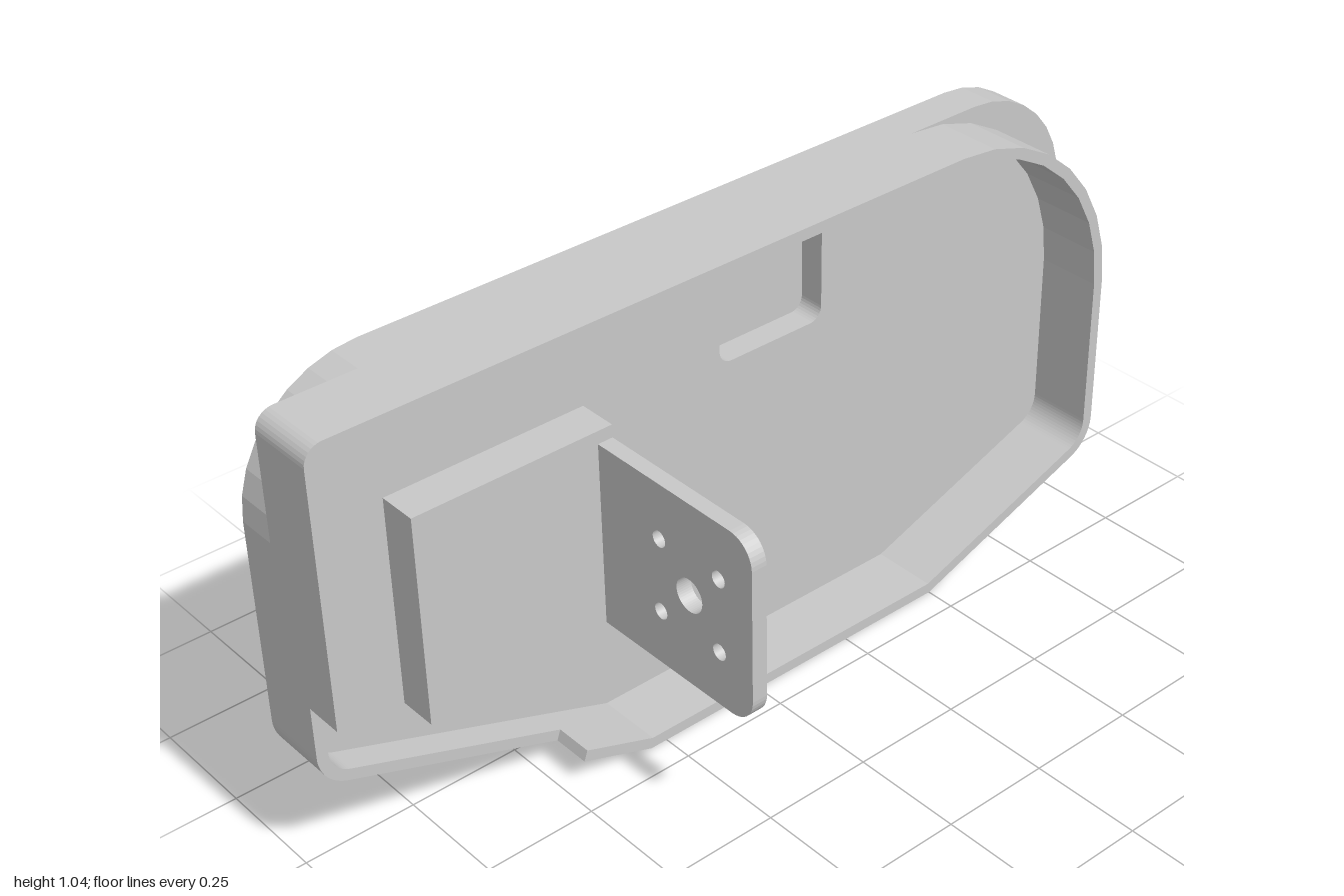
import * as THREE from 'three';

const V = (x, y) => new THREE.Vector2(x, y);

// Fillets each corner [x, y, radius, segments]; one point list per corner.
function fillet(corners) {
  const n = corners.length;
  return corners.map(([x, y, r, seg], i) => {
    const p = V(x, y);
    if (!r) return [p];
    const a = corners[(i + n - 1) % n], b = corners[(i + 1) % n];
    const u = V(a[0], a[1]).sub(p).normalize();
    const v = V(b[0], b[1]).sub(p).normalize();
    const half = Math.acos(u.dot(v)) / 2;
    const c = u.clone().add(v).normalize().multiplyScalar(r / Math.sin(half)).add(p);
    const s = u.clone().multiplyScalar(r / Math.tan(half)).add(p).sub(c);
    const sweep = (2 * half - Math.PI) * Math.sign(u.cross(v));
    return Array.from({ length: seg + 1 }, (_, k) =>
      s.clone().rotateAround(V(0, 0), sweep * k / seg).add(c));
  });
}

// Moves the edges of a clockwise polygon inward by d.
function inset(corners, d) {
  const n = corners.length;
  return corners.map(([x, y, r, seg], i) => {
    const a = corners[(i + n - 1) % n], b = corners[(i + 1) % n];
    const e = V(x - a[0], y - a[1]).normalize(), f = V(b[0] - x, b[1] - y).normalize();
    const n1 = V(e.y, -e.x), n2 = V(f.y, -f.x);
    const m = n1.clone().add(n2).multiplyScalar(d / (1 + n1.dot(n2)));
    return [x + m.x, y + m.y, r ? Math.max(r - d, 0.01) : 0, seg];
  });
}

// Outlines run clockwise and holes counterclockwise, so that all walls face outward.
function extrude(shape, z0, z1) {
  const g = new THREE.ExtrudeGeometry(shape, { depth: z1 - z0, bevelEnabled: false, curveSegments: 24 });
  return g.translate(0, 0, z0);
}

export function createModel() {
  const group = new THREE.Group();
  const grey = new THREE.MeshStandardMaterial({ color: 0xc8c8c8 });
  grey.name = 'plain grey';
  const add = (name, geometry) => {
    const mesh = new THREE.Mesh(geometry, grey);
    mesh.name = name;
    group.add(mesh);
  };

  const TOP = 1.045, BACK = -0.305, POCKET = -0.275, FLOOR = -0.217, STEP = -0.155, FRONT = -0.068;
  const lower = [[1, 0.182, 0.09, 12], [0.5, 0, 0, 0], [-0.29, 0, 0, 0]];
  const lowerLeft = [-1, 0.258, 0.09, 12];

  // Thick back slab with large upper corners and a shallow square pocket
  const slab = fillet([[-1, TOP, 0.27, 8], [1, TOP, 0.27, 8], ...lower, lowerLeft]).flat();
  add('backPanel', extrude(new THREE.Shape(slab), BACK, POCKET));
  const pocket = fillet([[0.034, 0.71], [0.306, 0.71], [0.306, 0.987], [0.034, 0.987]]
    .map(([x, y]) => [x, y, 0.03, 8])).flat();
  const pocketed = new THREE.Shape(slab);
  pocketed.holes.push(new THREE.Path(pocket));
  add('pocketPanel', extrude(pocketed, POCKET, FLOOR));

  // Thin rim, full loop at its base and cut away at the lower left in front
  const rimCorners = [[-1, 0.44, 0, 0], [-1, TOP, 0.04, 8], [1, TOP, 0.45, 8],
    ...lower, [-0.46, 0.062, 0, 0], lowerLeft];
  const outer = fillet(rimCorners), inner = fillet(inset(rimCorners, 0.025));
  const loop = new THREE.Shape(outer.flat());
  loop.holes.push(new THREE.Path(inner.flat().reverse()));
  add('rimBase', extrude(loop, FLOOR, STEP));
  const strip = [...outer.slice(0, -1).flat(), ...inner.slice(0, -1).flat().reverse()];
  add('rimFront', extrude(new THREE.Shape(strip), STEP, FRONT));

  // Mounting block on the floor
  const block = new THREE.BoxGeometry(0.458, 0.474, 0.087);
  add('mountingBlock', block.translate(-0.536, 0.525, FLOOR + 0.0435));

  // Upright bracket plate with five holes, drawn in the z-y plane
  const plate = new THREE.Shape(fillet([[-0.14, 0.314, 0, 0], [-0.14, 0.733, 0, 0],
    [0.305, 0.733, 0.06, 10], [0.305, 0.314, 0.06, 10]]).flat());
  const hole = (z, y, r) => plate.holes.push(new THREE.Path().absarc(z, y, r, 0, Math.PI * 2));
  hole(0.128, 0.523, 0.037);
  for (const z of [0.043, 0.212]) for (const y of [0.439, 0.607]) hole(z, y, 0.018);
  add('bracketPlate', extrude(plate, 0, 0.035).rotateY(-Math.PI / 2).translate(-0.307, 0, 0));

  return group;
}
